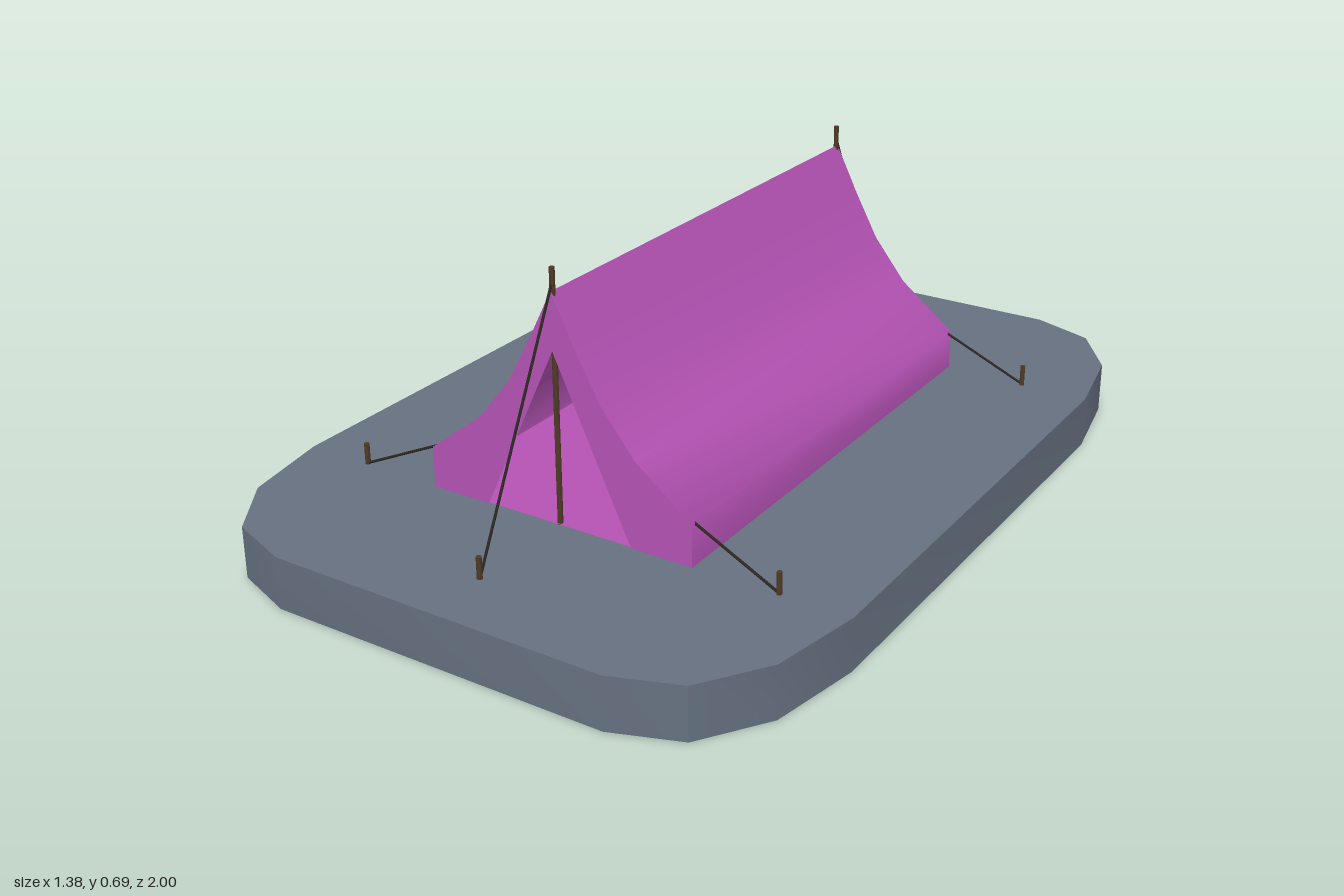
import * as THREE from 'three';
import { toCreasedNormals } from 'three/addons/utils/BufferGeometryUtils.js';

const GROUND = 0.12, HALF = 0.59;

export function createModel() {
  const model = new THREE.Group();
  const mat = (color, side = THREE.FrontSide) => new THREE.MeshStandardMaterial({ color, side });
  const slate = mat(0x667080), canvas = mat(0xb452b4, THREE.DoubleSide);
  const wood = mat(0x4e3a24), cord = mat(0x2b2622);

  const add = (name, geometry, material) => {
    const mesh = new THREE.Mesh(geometry, material);
    mesh.name = name;
    model.add(mesh);
    return mesh;
  };
  const toShape = (pts) => new THREE.Shape(pts.map(([x, y]) => new THREE.Vector2(x, y)));

  // Round bar between two points
  const bar = (name, a, b, radius, material) => {
    const from = new THREE.Vector3(...a), to = new THREE.Vector3(...b);
    const dir = to.clone().sub(from);
    const mesh = add(name, new THREE.CylinderGeometry(radius, radius, dir.length(), 8), material);
    mesh.position.copy(from).add(to).multiplyScalar(0.5);
    mesh.quaternion.setFromUnitVectors(new THREE.Vector3(0, 1, 0), dir.normalize());
  };

  // Ground slab with chamfered, rounded corners
  const corner = [[0.69, 0.585], [0.65, 0.8], [0.55, 0.945], [0.4, 1]];
  const mirrored = [...corner].reverse();
  const outline = [
    ...corner,
    ...mirrored.map(([x, z]) => [-x, z]),
    ...corner.map(([x, z]) => [-x, -z]),
    ...mirrored.map(([x, z]) => [x, -z]),
  ];
  const slab = new THREE.ExtrudeGeometry(toShape(outline), { depth: GROUND, bevelEnabled: false });
  slab.rotateX(-Math.PI / 2);
  add('groundSlab', toCreasedNormals(slab, Math.PI / 6), slate);

  // Tent section, from the right foot over the ridge to the left foot
  const side = [[0.33, GROUND], [0.33, 0.215], [0.195, 0.32], [0.115, 0.42], [0.055, 0.53]];
  const section = [...side, [0, 0.64], ...[...side].reverse().map(([x, y]) => [-x, y])];

  // Sagging roof and low side walls, swept along z
  const positions = [], index = [];
  section.forEach(([x, y], i) => {
    positions.push(x, y, HALF, x, y, -HALF);
    if (i > 0) {
      const a = 2 * (i - 1);
      index.push(a, a + 1, a + 2, a + 1, a + 3, a + 2);
    }
  });
  const roof = new THREE.BufferGeometry();
  roof.setAttribute('position', new THREE.Float32BufferAttribute(positions, 3));
  roof.setIndex(index);
  add('tentRoof', toCreasedNormals(roof, Math.PI / 3), canvas);

  // Front wall with triangular doorway
  const front = toShape([...section, [-0.183, GROUND], [0, 0.512], [0.183, GROUND]]);
  add('frontWall', new THREE.ShapeGeometry(front), canvas).position.z = HALF;

  // Back wall with square window
  const back = toShape(section);
  back.holes.push(new THREE.Path([[-0.057, 0.338], [-0.057, 0.435], [0.057, 0.435], [0.057, 0.338]]
    .map(([x, y]) => new THREE.Vector2(x, y))));
  const backWall = add('backWall', new THREE.ShapeGeometry(back), canvas);
  backWall.rotation.y = Math.PI;
  backWall.position.z = -HALF;

  // Tent floor
  const floor = add('tentFloor', new THREE.PlaneGeometry(0.66, 2 * HALF), canvas);
  floor.rotation.x = -Math.PI / 2;
  floor.position.y = GROUND + 0.003;

  // Poles, end ropes and side ropes with their pegs
  for (const s of [1, -1]) {
    const z = s * 0.582;
    bar('pole', [0, GROUND, z], [0, 0.69, z], 0.006, wood);
    bar('endRope', [0, 0.66, z], [0, GROUND + 0.005, s * 0.845], 0.003, cord);
    bar('endPeg', [0, GROUND - 0.01, s * 0.848], [0, 0.17, s * 0.848], 0.006, wood);
    for (const m of [1, -1]) {
      bar('sideRope', [m * 0.325, 0.215, s * 0.576], [m * 0.525, GROUND + 0.003, s * 0.585], 0.003, cord);
      bar('sidePeg', [m * 0.527, GROUND - 0.01, s * 0.585], [m * 0.527, 0.17, s * 0.585], 0.006, wood);
    }
  }
  return model;
}
